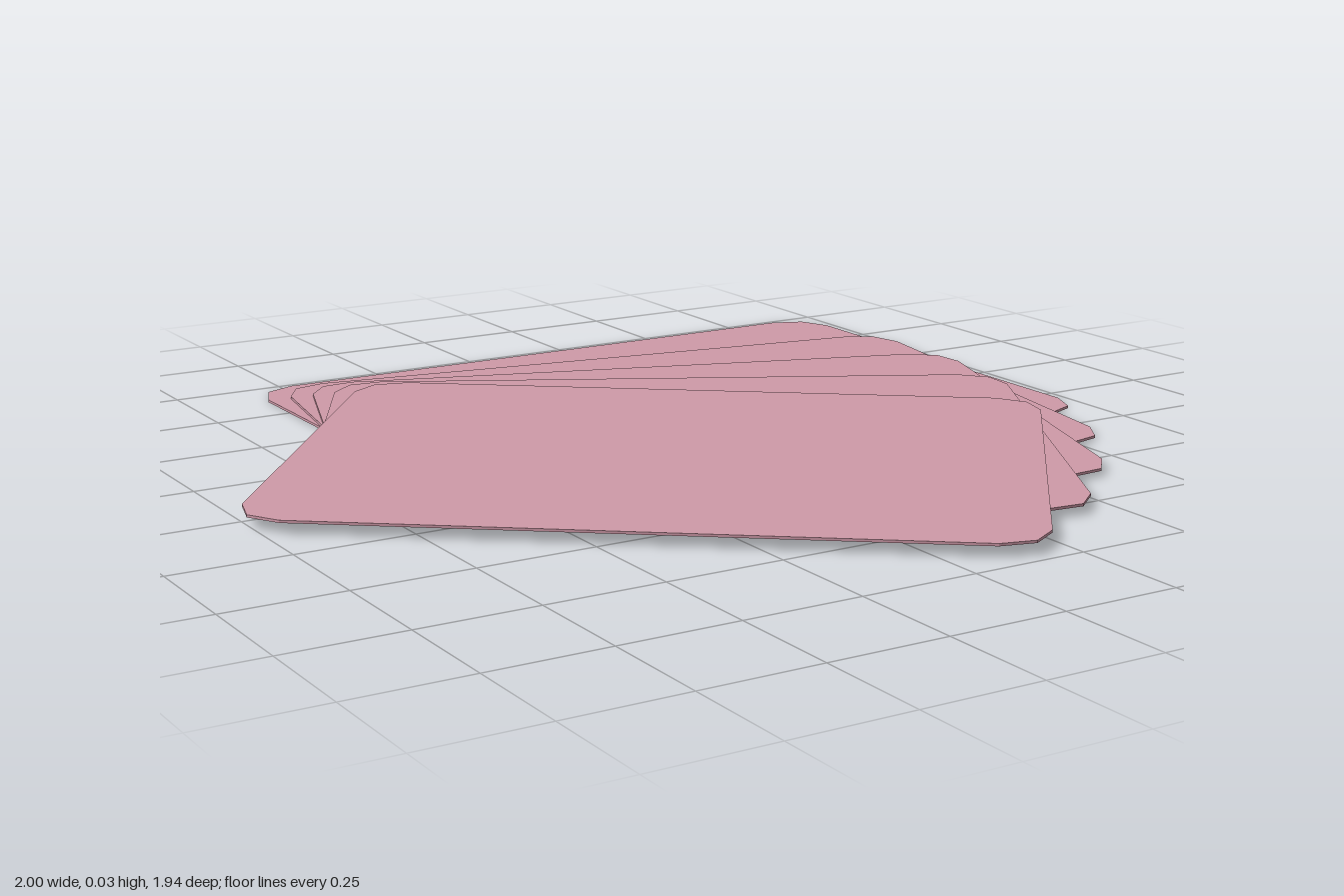
import * as THREE from 'three';

const WIDTH = 1.55, DEPTH = 1.13, CORNER = 0.1, THICK = 0.0055;
const COUNT = 5, STEP = THREE.MathUtils.degToRad(9.5);
const PIVOT = new THREE.Vector2(-0.66, -0.574); // x, z the fan turns about
const FIRST = new THREE.Vector2(0.195, -0.405); // centre of the lowest card

// Card outline with two-segment rounded corners
function cardShape() {
  const w = WIDTH / 2 - CORNER, d = DEPTH / 2 - CORNER;
  const points = [];
  [[1, 1], [-1, 1], [-1, -1], [1, -1]].forEach(([sx, sy], quarter) => {
    for (let i = 0; i <= 2; i++) {
      const a = (quarter + i / 2) * Math.PI / 2;
      points.push(new THREE.Vector2(sx * w + CORNER * Math.cos(a), sy * d + CORNER * Math.sin(a)));
    }
  });
  return new THREE.Shape(points);
}

export function createModel() {
  const group = new THREE.Group();
  group.name = 'fannedCards';
  const material = new THREE.MeshStandardMaterial({ color: 0xcf9aa8, flatShading: true });

  // Thin slab lying flat, its underside on y = 0
  const geometry = new THREE.ExtrudeGeometry(cardShape(), { depth: THICK, bevelEnabled: false });
  geometry.rotateX(-Math.PI / 2);

  // Each card lies on the one below, turned a step further about the pivot
  for (let i = 0; i < COUNT; i++) {
    const centre = FIRST.clone().rotateAround(PIVOT, i * STEP);
    const card = new THREE.Mesh(geometry, material);
    card.name = `card${i + 1}`;
    card.position.set(centre.x, i * THICK, centre.y);
    card.rotation.y = -i * STEP;
    group.add(card);
  }
  return group;
}
